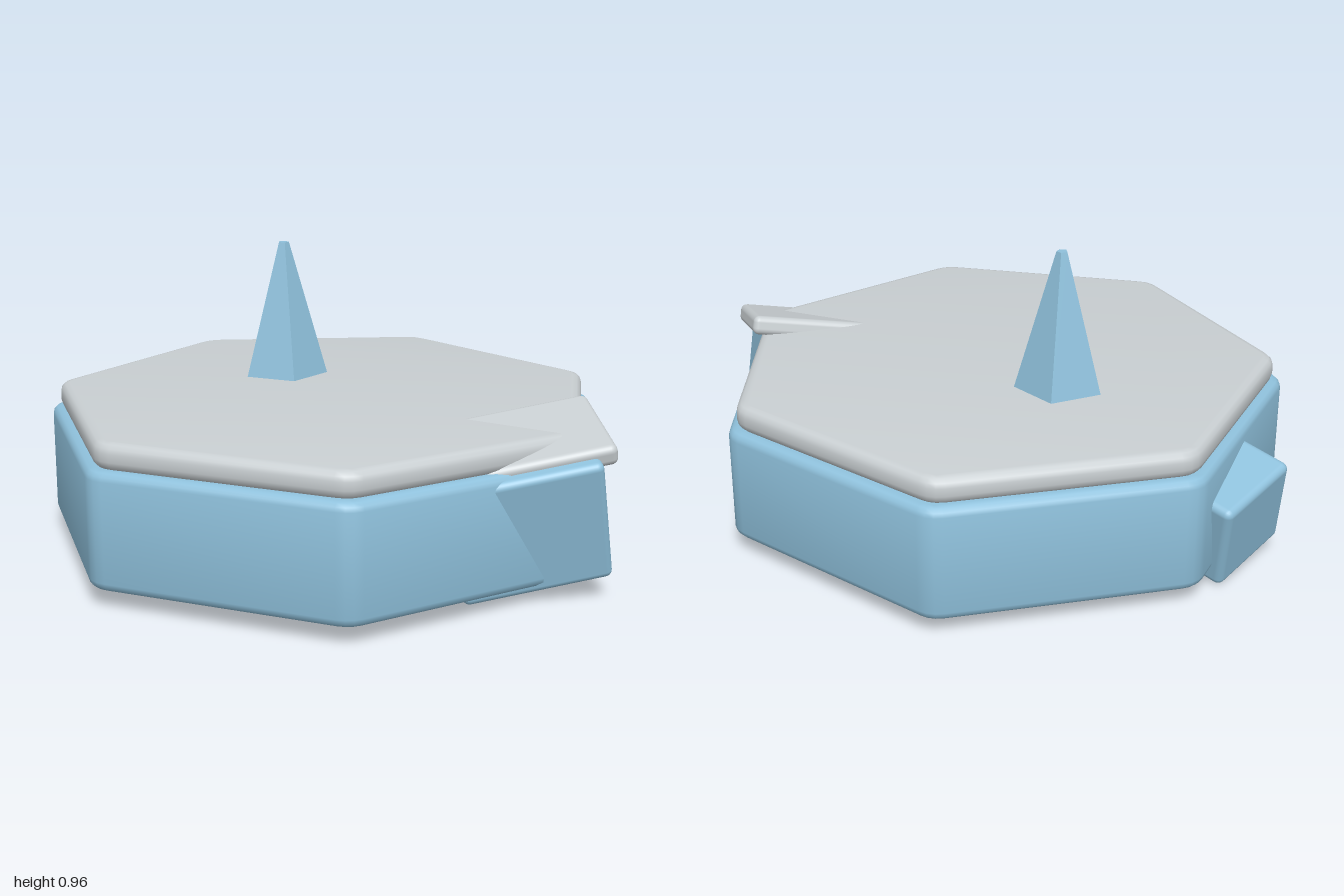
import * as THREE from 'three';
import { toCreasedNormals } from 'three/addons/utils/BufferGeometryUtils.js';
import { RoundedBoxGeometry } from 'three/addons/geometries/RoundedBoxGeometry.js';

const ice = new THREE.MeshStandardMaterial({ color: 0x8fc1dc });
ice.name = 'ice blue';
const snow = new THREE.MeshStandardMaterial({ color: 0xc9cfd2 });
snow.name = 'snow grey';

// Seven-sided outline with softened corners, one corner pointing to the back
function heptagon(radius, cut) {
  const corners = [];
  for (let i = 0; i < 7; i++) {
    const a = Math.PI / 2 + (i * Math.PI * 2) / 7;
    corners.push(new THREE.Vector2(Math.cos(a), Math.sin(a)).multiplyScalar(radius));
  }
  const toward = (a, b) => b.clone().sub(a).setLength(cut).add(a);
  const shape = new THREE.Shape();
  corners.forEach((c, i) => {
    const start = toward(c, corners[(i + 6) % 7]);
    const end = toward(c, corners[(i + 1) % 7]);
    if (i === 0) shape.moveTo(start.x, start.y);
    else shape.lineTo(start.x, start.y);
    shape.quadraticCurveTo(c.x, c.y, end.x, end.y);
  });
  shape.closePath();
  return shape;
}

// Horizontal slab with rounded edges between two heights
function slab(name, radius, y0, y1, bevel, material) {
  const geo = new THREE.ExtrudeGeometry(heptagon(radius, 0.045), {
    depth: y1 - y0 - 2 * bevel,
    bevelSize: bevel,
    bevelThickness: bevel,
    bevelOffset: -bevel,
    bevelSegments: 3,
    curveSegments: 3,
  });
  geo.rotateX(-Math.PI / 2);
  geo.translate(-0.025, y0 + bevel, 0.04);
  const mesh = new THREE.Mesh(toCreasedNormals(geo, 0.6), material);
  mesh.name = name;
  return mesh;
}

// Tilted block with rounded edges
function block(name, size, position, rotation, radius, material) {
  const mesh = new THREE.Mesh(new RoundedBoxGeometry(...size, 3, radius), material);
  mesh.name = name;
  mesh.position.set(...position);
  mesh.rotation.set(...rotation);
  return mesh;
}

export function createModel() {
  const model = new THREE.Group();
  model.name = 'iceFloe';

  // Main floe and its snow layer
  model.add(slab('floeBody', 0.945, 0.08, 0.45, 0.028, ice));
  model.add(slab('floeSnow', 0.915, 0.445, 0.53, 0.03, snow));

  // Tilted chunk on the left with its own snow
  const tilt = [0.26, 0.51, 0.05];
  const chunk = new THREE.Group();
  chunk.name = 'leftChunk';
  chunk.add(block('chunkBody', [0.46, 0.4, 0.34], [0.696, 0.287, 0.276], tilt, 0.022, ice));
  chunk.add(block('chunkSnow', [0.47, 0.065, 0.345], [0.709, 0.49, 0.27], tilt, 0.022, snow));
  model.add(chunk);

  // Smaller chunk on the right
  model.add(block('rightChunk', [0.42, 0.31, 0.32], [-0.728, 0.235, -0.225], [-0.22, -0.52, 0.09], 0.024, ice));

  // Five-sided ice spike
  const spikeGeo = new THREE.CylinderGeometry(0.018, 0.149, 0.46, 5).toNonIndexed();
  spikeGeo.computeVertexNormals();
  const spike = new THREE.Mesh(spikeGeo, ice);
  spike.name = 'spike';
  spike.rotation.y = Math.PI;
  spike.position.set(-0.26, 0.75, -0.15);
  model.add(spike);

  return model;
}
